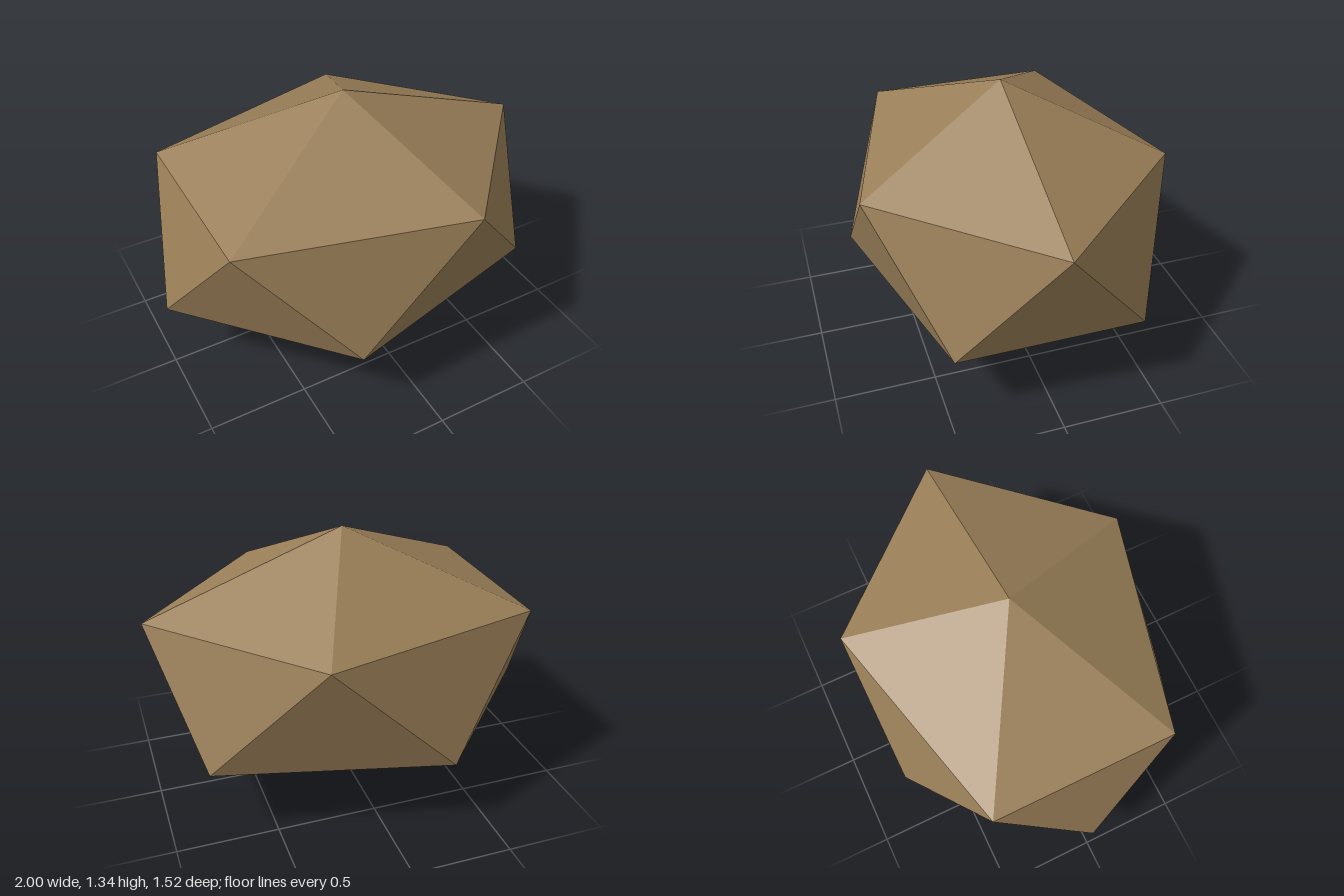
import * as THREE from 'three';

// Squashed icosahedron with its poles on the y axis: two staggered rings of five plus two tips.
function rockGeometry() {
  const ring = (y, offset) => Array.from({ length: 5 }, (_, i) => {
    const a = ((i + offset) * Math.PI * 2) / 5;
    return [Math.cos(a), y, Math.sin(a) * 0.8];
  });
  const upper = ring(0.3, 0);
  const lower = ring(-0.3, 0.5);
  const top = [0, 0.67, 0];
  const bottom = [0, -0.67, 0];
  const points = [];
  for (let i = 0; i < 5; i++) {
    const j = (i + 1) % 5;
    points.push(top, upper[j], upper[i]);
    points.push(upper[i], upper[j], lower[i]);
    points.push(upper[j], lower[j], lower[i]);
    points.push(bottom, lower[i], lower[j]);
  }
  const geometry = new THREE.BufferGeometry();
  geometry.setAttribute('position', new THREE.Float32BufferAttribute(points.flat(), 3));
  geometry.computeVertexNormals(); // unshared corners give flat facets
  return geometry;
}

export function createModel() {
  const group = new THREE.Group();
  group.name = 'rock';
  const stone = new THREE.MeshStandardMaterial({ color: 0x9a7f58 });
  stone.name = 'brown stone';
  const geometry = rockGeometry();

  // Main boulder, resting on its lower tip
  const boulder = new THREE.Mesh(geometry, stone);
  boulder.name = 'boulder';
  boulder.position.y = 0.674;
  group.add(boulder);

  // Small stone embedded low in the boulder, its corner just breaking the surface
  const chip = new THREE.Mesh(geometry, stone);
  chip.name = 'embeddedStone';
  chip.scale.setScalar(0.15);
  chip.position.set(-0.45, 0.36, 0.28);
  group.add(chip);

  return group;
}
